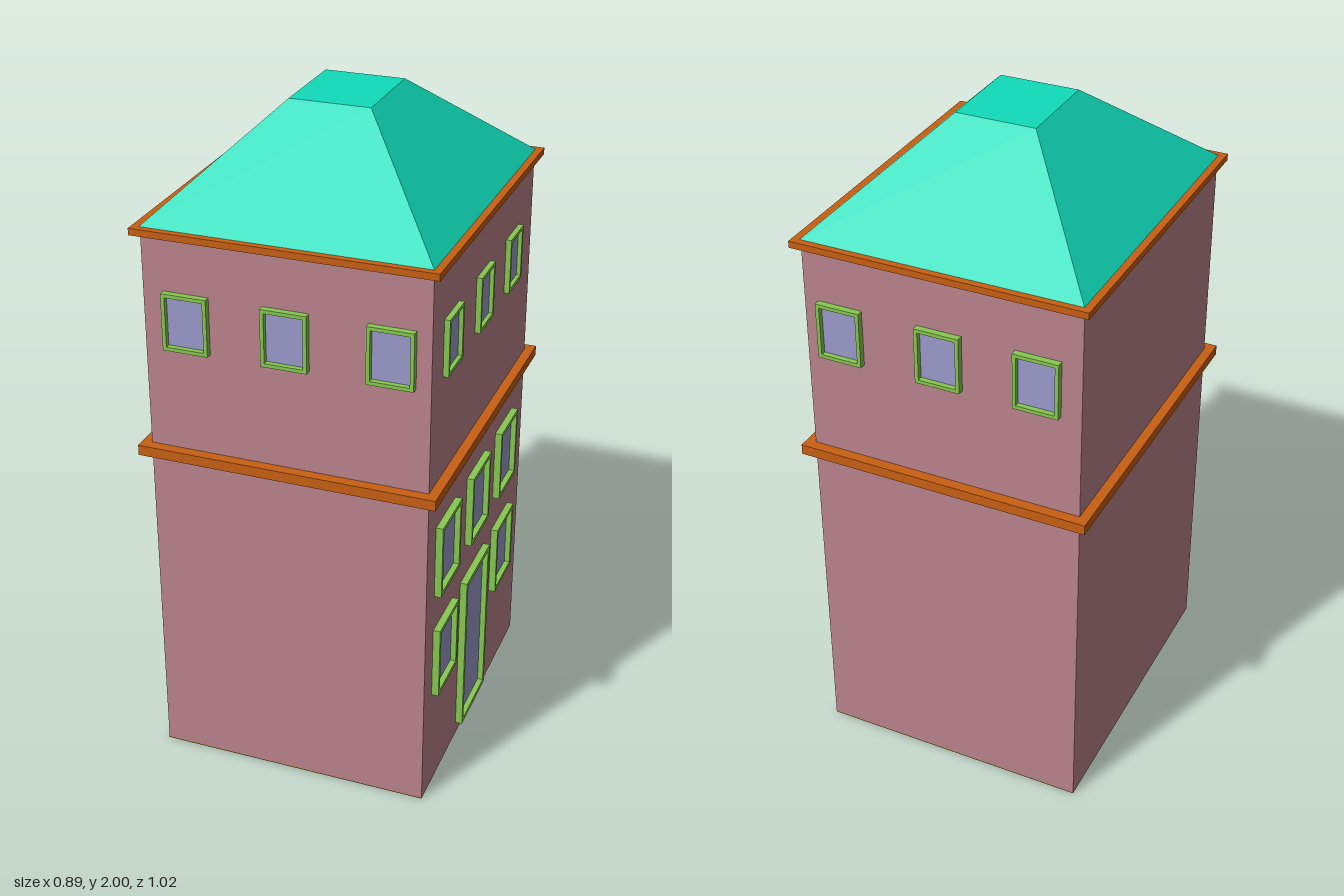
import * as THREE from 'three';

const paint = (color) => new THREE.MeshStandardMaterial({ color });
const wallPaint = paint(0xb9848b);
const floorPaint = paint(0x8a6c0c);
const trimPaint = paint(0xc85f12);
const roofPaint = paint(0x10dcba);
const framePaint = paint(0x86c850);
const glassPaint = paint(0x9a9aca);
roofPaint.flatShading = true;

const WALL_X = 0.415, WALL_Z = 0.48;

// Box given by its centre in x/z and its bottom and top heights
function slab(name, halfX, halfZ, y0, y1, material) {
  const mesh = new THREE.Mesh(new THREE.BoxGeometry(halfX * 2, y1 - y0, halfZ * 2), material);
  mesh.position.y = (y0 + y1) / 2;
  mesh.name = name;
  return mesh;
}

// Framed opening facing +z, centred on its own origin, back on z = 0
function opening(name, w, h, depth, border) {
  const group = new THREE.Group();
  group.name = name;
  const rect = (target, a, b) =>
    target.moveTo(-a, -b).lineTo(a, -b).lineTo(a, b).lineTo(-a, b).closePath();
  const shape = rect(new THREE.Shape(), w / 2, h / 2);
  shape.holes.push(rect(new THREE.Path(), w / 2 - border, h / 2 - border));
  const frame = new THREE.Mesh(
    new THREE.ExtrudeGeometry(shape, { depth, bevelEnabled: false }), framePaint);
  frame.name = name + 'Frame';
  const pane = new THREE.Mesh(
    new THREE.PlaneGeometry(w - border * 2, h - border * 2), glassPaint);
  pane.position.z = 0.004;
  pane.name = name + 'Pane';
  group.add(frame, pane);
  return group;
}

// Hipped roof with a flat top: a four-sided frustum, stretched to the footprint
function hippedRoof(y0, y1) {
  const geo = new THREE.BoxGeometry(2, y1 - y0, 2);
  const pos = geo.attributes.position;
  for (let i = 0; i < pos.count; i++) {
    const top = pos.getY(i) > 0;
    pos.setX(i, pos.getX(i) * (top ? 0.119 : 0.416));
    pos.setZ(i, pos.getZ(i) * (top ? 0.139 : 0.484));
  }
  geo.computeVertexNormals();
  const mesh = new THREE.Mesh(geo, roofPaint);
  mesh.position.y = (y0 + y1) / 2;
  mesh.name = 'roof';
  return mesh;
}

export function createModel() {
  const house = new THREE.Group();
  house.name = 'house';

  // Body, belt course, cornice and roof
  house.add(
    slab('floor', WALL_X, WALL_Z, 0, 0.003, floorPaint),
    slab('walls', WALL_X, WALL_Z, 0.003, 1.7, wallPaint),
    slab('beltCourse', 0.444, 0.512, 1.024, 1.055, trimPaint),
    slab('cornice', 0.438, 0.505, 1.695, 1.715, trimPaint),
    hippedRoof(1.715, 2),
  );

  // Upper windows on the front and the back
  for (const side of [1, -1]) {
    for (const x of [-0.288, 0.003, 0.305]) {
      const win = opening('upperWindow', 0.134, 0.17, 0.02, 0.011);
      win.position.set(x, 1.45, side * WALL_Z);
      if (side < 0) win.rotation.y = Math.PI;
      house.add(win);
    }
  }

  // Entrance side (+x)
  const addToSide = (item, y, z) => {
    item.position.set(WALL_X, y, z);
    item.rotation.y = Math.PI / 2;
    house.add(item);
  };
  for (const z of [0.317, 0.025, -0.267])
    addToSide(opening('upperWindow', 0.13, 0.168, 0.016, 0.011), 1.448, z);
  for (const z of [0.317, 0.025, -0.267])
    addToSide(opening('middleWindow', 0.18, 0.228, 0.021, 0.013), 0.791, z);
  for (const z of [0.317, -0.267])
    addToSide(opening('lowerWindow', 0.18, 0.228, 0.021, 0.013), 0.446, z);
  addToSide(opening('door', 0.238, 0.52, 0.021, 0.015), 0.301, 0.028);

  return house;
}
